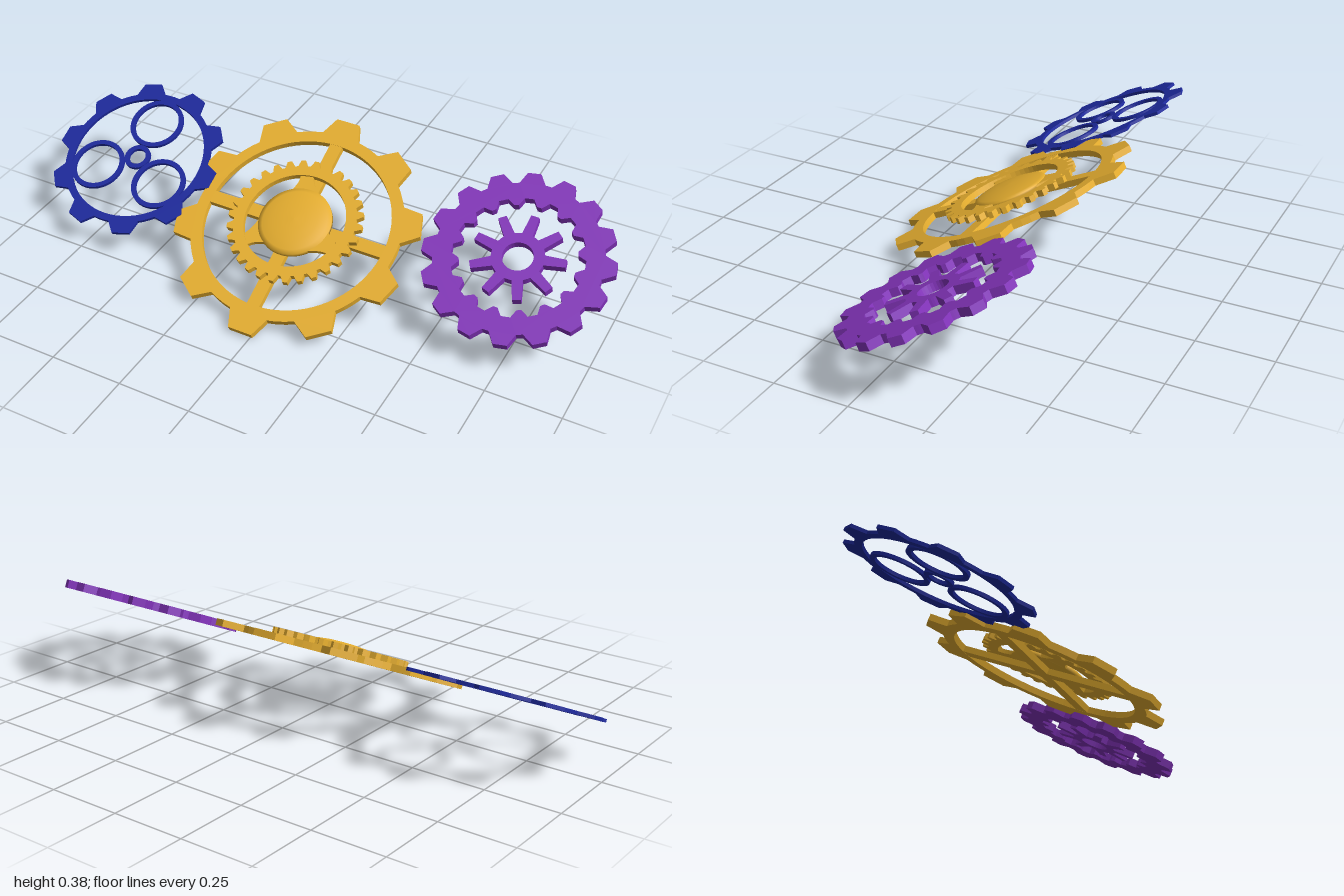
import * as THREE from 'three';

const TAU = Math.PI * 2;
const gold = new THREE.MeshStandardMaterial({ color: 0xe8b030 });
const blue = new THREE.MeshStandardMaterial({ color: 0x1e2a9e });
const purple = new THREE.MeshStandardMaterial({ color: 0x8434bc });

// Outline with n trapezoid teeth; base and tip are half widths as a share of the pitch
function toothed(n, root, tip, baseHalf, tipHalf, phase) {
  const pts = [], pitch = TAU / n;
  const add = (r, a) => pts.push(new THREE.Vector2(r * Math.cos(a), r * Math.sin(a)));
  for (let i = 0; i < n; i++) {
    const a = phase + i * pitch;
    add(root, a - baseHalf * pitch);
    add(tip, a - tipHalf * pitch);
    add(tip, a + tipHalf * pitch);
    const gap = (1 - 2 * baseHalf) * pitch;
    for (let k = 0; k < 3; k++) add(root, a + baseHalf * pitch + gap * k / 3);
  }
  return pts;
}

function circle(r, n = 64) {
  return Array.from({ length: n }, (_, i) =>
    new THREE.Vector2(r * Math.cos(i / n * TAU), r * Math.sin(i / n * TAU)));
}

// Flat plate from an outline and an optional hole, from height z0 to z1
function plate(name, material, outline, hole, z0, z1) {
  const shape = new THREE.Shape(outline);
  if (hole) shape.holes.push(new THREE.Path(hole));
  const geo = new THREE.ExtrudeGeometry(shape, { depth: z1 - z0, bevelEnabled: false });
  geo.translate(0, 0, z0);
  const mesh = new THREE.Mesh(geo, material);
  mesh.name = name;
  return mesh;
}

function largeGear() {
  const g = new THREE.Group();
  g.name = 'largeGear';
  g.add(plate('largeRim', gold, toothed(10, 0.36, 0.42, 0.3, 0.16, Math.PI / 2), circle(0.32, 80), 0, 0.022));
  // Crossed spokes under the hub
  for (let i = 0; i < 2; i++) {
    const spoke = new THREE.Mesh(new THREE.BoxGeometry(0.67, 0.045, 0.021), gold);
    spoke.name = 'spoke';
    spoke.position.z = 0.011;
    spoke.rotation.z = i * Math.PI / 2;
    g.add(spoke);
  }
  // Fine-toothed ring on top
  g.add(plate('fineRing', gold, toothed(30, 0.208, 0.23, 0.38, 0.16, 0), circle(0.173), 0.022, 0.043));
  // Domed hub
  const dome = [[0, 0.021], [0.125, 0.021], [0.125, 0.036], [0.11, 0.041], [0.08, 0.047], [0.04, 0.051], [0, 0.052]];
  const hub = new THREE.Mesh(
    new THREE.LatheGeometry(dome.map(([r, h]) => new THREE.Vector2(r, h)), 48), gold);
  hub.rotation.x = Math.PI / 2;
  hub.name = 'hub';
  g.add(hub);
  // Three hooked arms joining hub and ring
  for (let i = 0; i < 3; i++) {
    const s = new THREE.Shape();
    s.moveTo(0.09, -0.075);
    s.quadraticCurveTo(0.14, -0.02, 0.18, -0.015);
    s.lineTo(0.178, 0.03);
    s.quadraticCurveTo(0.14, 0.02, 0.09, 0.06);
    const arm = plate('hubArm', gold, s.getPoints(8), null, 0.022, 0.036);
    arm.rotation.z = (100 + i * 120) * Math.PI / 180;
    g.add(arm);
  }
  return g;
}

function ringGear() {
  const g = new THREE.Group();
  g.name = 'ringGear';
  const z0 = 0.013, z1 = 0.024;
  g.add(plate('thinRim', blue, toothed(10, 0.265, 0.307, 0.32, 0.16, 0), circle(0.24), z0, z1));
  g.add(plate('centreRing', blue, circle(0.047, 32), circle(0.03, 32), z0, z1));
  // Three rings filling the rim
  for (let i = 0; i < 3; i++) {
    const a = Math.PI / 2 + i * TAU / 3;
    const ring = plate('innerRing', blue, circle(0.097, 48), circle(0.08, 48), z0, z1);
    ring.position.set(0.145 * Math.cos(a), 0.145 * Math.sin(a), 0);
    g.add(ring);
  }
  return g;
}

function starGear() {
  const g = new THREE.Group();
  g.name = 'starGear';
  const z0 = -0.006, z1 = 0.022, phase = Math.PI / 16;
  g.add(plate('wavyRim', purple, toothed(16, 0.27, 0.308, 0.4, 0.18, phase),
    toothed(16, 0.187, 0.212, 0.4, 0.18, phase), z0, z1));
  // Loose star wheel in the middle
  g.add(plate('starWheel', purple, toothed(9, 0.085, 0.153, 0.3, 0.13, Math.PI / 2), circle(0.05, 32), z0, z1));
  return g;
}

export function createModel() {
  const model = new THREE.Group();
  model.name = 'gearTrain';
  const tilted = new THREE.Group();
  tilted.name = 'tiltedGears';
  const parts = [[largeGear(), -0.035, 0], [ringGear(), -0.69, 0.053], [starGear(), 0.695, 0.128]];
  for (const [gear, x, y] of parts) {
    gear.position.set(x, y, 0);
    tilted.add(gear);
  }
  // The whole train leans back, rising towards the rear
  tilted.rotation.x = -65 * Math.PI / 180;
  tilted.position.set(0, 0.178, 0);
  model.add(tilted);
  return model;
}
